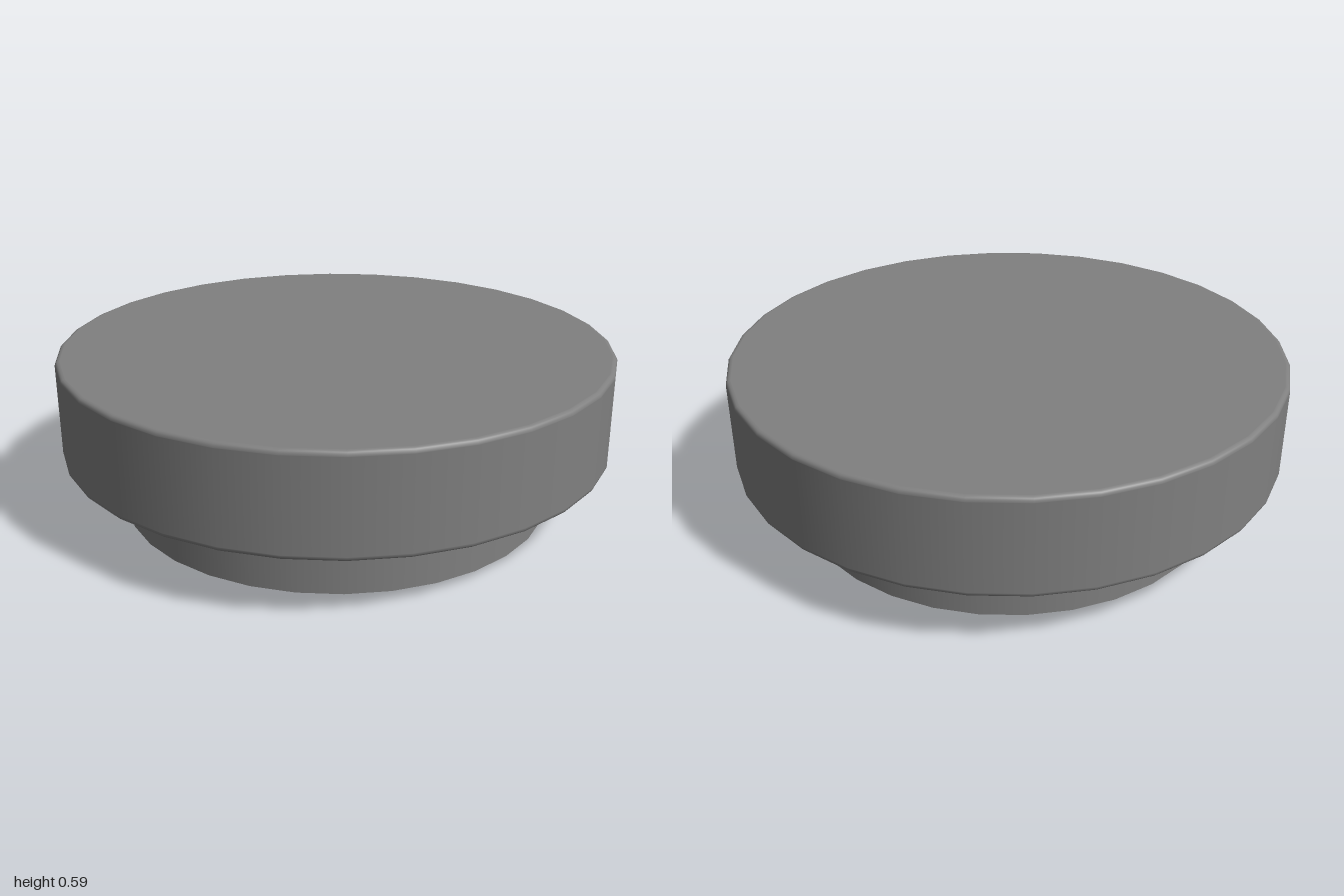
import * as THREE from 'three';

const SIDES = 32;
const material = new THREE.MeshStandardMaterial({ color: 0x808080 });

// Disc with small rounded rims; extra rings beside each rim keep the flats evenly shaded
function roundedDisc(radius, bottom, top, bevel) {
  const steps = 4;
  const points = [new THREE.Vector2(0, bottom), new THREE.Vector2(radius - bevel * 1.1, bottom)];
  const corner = (cy, start) => {
    for (let i = 0; i <= steps; i++) {
      const a = start + (i / steps) * Math.PI / 2;
      points.push(new THREE.Vector2(radius - bevel + bevel * Math.cos(a), cy + bevel * Math.sin(a)));
    }
  };
  corner(bottom + bevel, -Math.PI / 2);
  points.push(new THREE.Vector2(radius, bottom + bevel * 1.1));
  points.push(new THREE.Vector2(radius, top - bevel * 1.1));
  corner(top - bevel, 0);
  points.push(new THREE.Vector2(radius - bevel * 1.1, top), new THREE.Vector2(0, top));
  return new THREE.LatheGeometry(points, SIDES);
}

export function createModel() {
  const group = new THREE.Group();
  group.name = 'roundPedestal';

  // Narrow foot, standing on the ground and touching the underside of the top
  const footHeight = 0.232;
  const foot = new THREE.Mesh(new THREE.CylinderGeometry(0.788, 0.788, footHeight, SIDES), material);
  foot.name = 'foot';
  foot.position.y = footHeight / 2;
  group.add(foot);

  // Wide overhanging top
  const top = new THREE.Mesh(roundedDisc(1, footHeight, 0.587, 0.016), material);
  top.name = 'top';
  group.add(top);

  return group;
}
